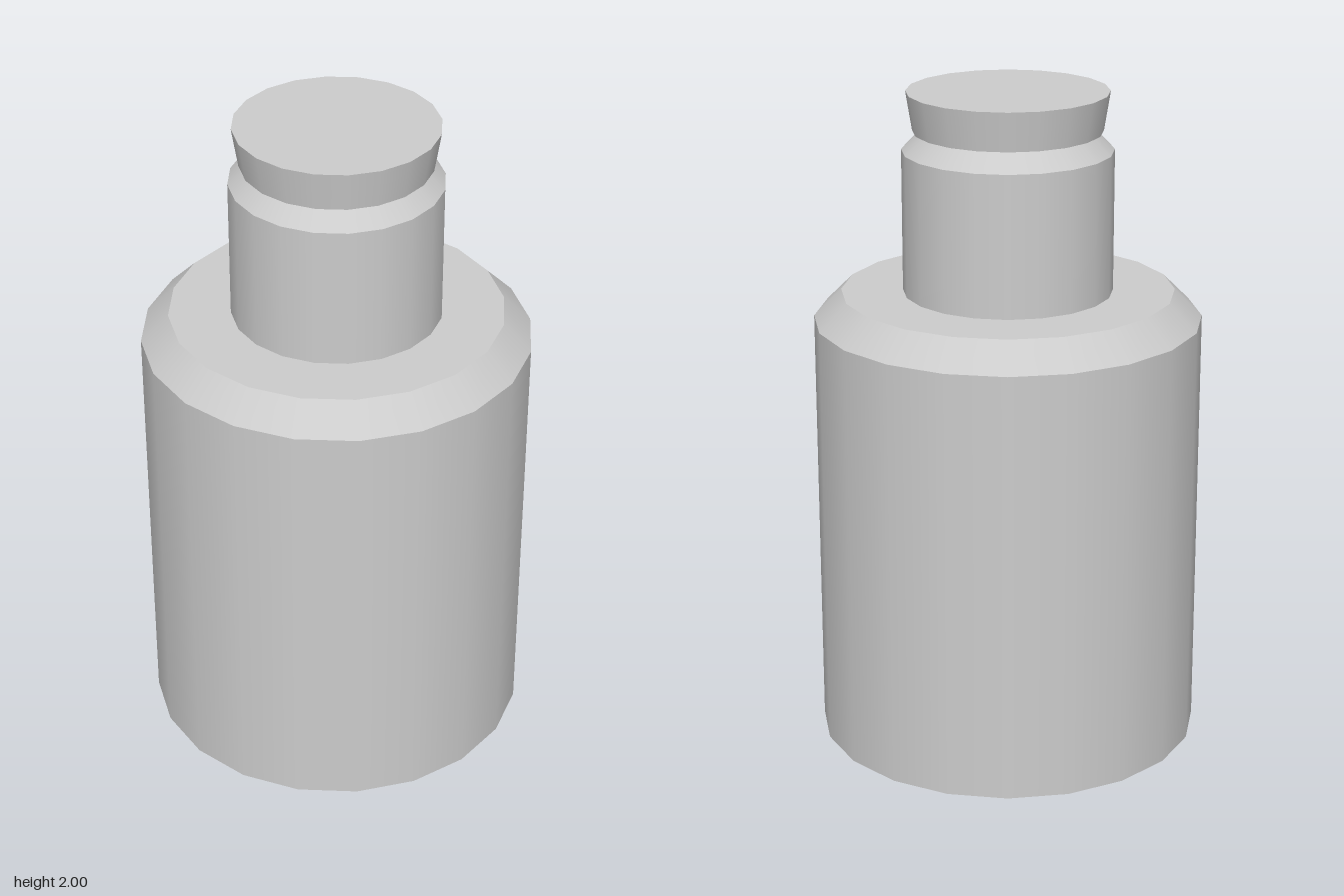
import * as THREE from 'three';
import { mergeGeometries } from 'three/addons/utils/BufferGeometryUtils.js';

const SIDES = 20;
const material = new THREE.MeshStandardMaterial({ color: 0xcccccc });

// Smooth-sided band between two [radius, y] rings
function band([r0, y0], [r1, y1]) {
  return new THREE.CylinderGeometry(r1, r0, y1 - y0, SIDES, 1, true).translate(0, (y0 + y1) / 2, 0);
}

// Flat disc closing a ring, facing up (1) or down (-1)
function cap([r, y], dir) {
  return new THREE.CircleGeometry(r, SIDES).rotateX(-dir * Math.PI / 2).translate(0, y, 0);
}

// Closed turned part with a sharp edge at every ring of its profile
function turned(name, rings) {
  const pieces = [cap(rings[0], -1), cap(rings[rings.length - 1], 1)];
  for (let i = 1; i < rings.length; i++) pieces.push(band(rings[i - 1], rings[i]));
  const mesh = new THREE.Mesh(mergeGeometries(pieces), material);
  mesh.name = name;
  return mesh;
}

export function createModel() {
  const bottle = new THREE.Group();
  bottle.name = 'bottle';
  bottle.add(
    // Wide body with a chamfered shoulder
    turned('body', [[0.582, 0], [0.582, 1.315], [0.499, 1.398]]),
    // Neck with a chamfered lip
    turned('neck', [[0.314, 1.398], [0.314, 1.825], [0.252, 1.885]]),
    // Tapered stopper
    turned('stopper', [[0.281, 1.882], [0.3, 2]])
  );
  return bottle;
}
